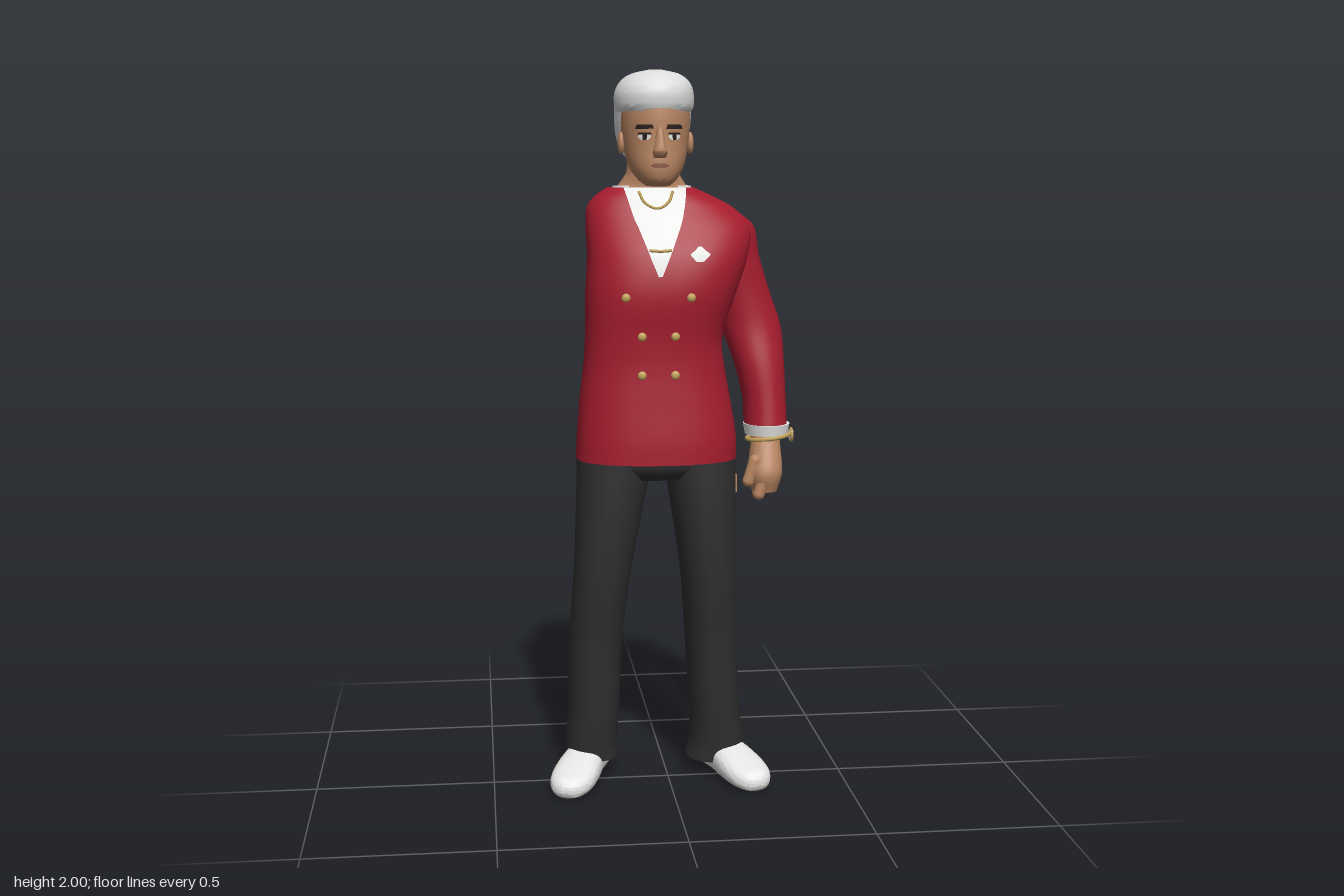
import * as THREE from 'three';
import { toCreasedNormals } from 'three/addons/utils/BufferGeometryUtils.js';

const mat = (name, color) => Object.assign(new THREE.MeshStandardMaterial({ color }), { name });
const M = {
  red: mat('jacketRed', 0xa51c2e), black: mat('trouserBlack', 0x303030),
  white: mat('shirtWhite', 0xe8e8e6), hair: mat('hairSilver', 0xdcdcdc),
  skin: mat('skin', 0xb88562), gold: mat('gold', 0xc2a25a),
  dark: mat('browDark', 0x2a201d), lip: mat('lip', 0x8c5a47),
};

// Smooth interpolation of rows [y, ...values] at height y
function sample(rows, y) {
  let i = 0;
  while (i < rows.length - 2 && y > rows[i + 1][0]) i++;
  const a = rows[i], b = rows[i + 1], h = b[0] - a[0];
  const t = Math.min(1, Math.max(0, (y - a[0]) / h));
  const p = rows[Math.max(0, i - 1)], q = rows[Math.min(rows.length - 1, i + 2)];
  return a.slice(1).map((_, n) => {
    const k = n + 1;
    const m0 = (b[k] - p[k]) / (b[0] - p[0]) * h, m1 = (q[k] - a[k]) / (q[0] - a[0]) * h;
    const t2 = t * t, t3 = t2 * t;
    return (2 * t3 - 3 * t2 + 1) * a[k] + (t3 - 2 * t2 + t) * m0
      + (3 * t2 - 2 * t3) * b[k] + (t3 - t2) * m1;
  });
}

function buffer(pos, idx) {
  const g = new THREE.BufferGeometry();
  g.setAttribute('position', new THREE.Float32BufferAttribute(pos, 3));
  g.setIndex(idx);
  return g;
}

// Closed body from rows [y, centreX, centreZ, radiusX, radiusZ]
function loft(rows, e = 2, n = 36, sub = 4) {
  const ys = [], pos = [], idx = [];
  rows.forEach((r, i) => {
    if (i) for (let s = 1; s <= sub; s++) ys.push(THREE.MathUtils.lerp(rows[i - 1][0], r[0], s / sub));
    else ys.push(r[0]);
  });
  const pw = (v) => Math.sign(v) * Math.abs(v) ** (2 / e);
  for (const y of ys) {
    const [cx, cz, rx, rz] = sample(rows, y);
    for (let j = 0; j < n; j++) {
      const a = j / n * Math.PI * 2;
      pos.push(cx + rx * pw(Math.cos(a)), y, cz + rz * pw(Math.sin(a)));
    }
  }
  const last = (ys.length - 1) * n, c0 = ys.length * n;
  for (const r of [rows[0], rows[rows.length - 1]]) pos.push(r[1], r[0], r[2]);
  for (let j = 0; j < n; j++) {
    const k = (j + 1) % n;
    for (let i = 0; i < last; i += n) idx.push(i + j, i + n + j, i + k, i + k, i + n + j, i + n + k);
    idx.push(c0, j, k, c0 + 1, last + k, last + j);
  }
  return toCreasedNormals(buffer(pos, idx), 0.9);
}

// Front surface height of a loft at x, y
function frontZ(rows, e, x, y) {
  const [cx, cz, rx, rz] = sample(rows, y);
  return cz + rz * Math.max(0, 1 - Math.abs((x - cx) / rx) ** e) ** (1 / e);
}

// Thin panel laid on a loft's front, outline rows [y, xMin, xMax]
function panel(body, e, outline, off, nx = 10, ny = 24) {
  const pos = [], idx = [], y0 = outline[0][0], y1 = outline[outline.length - 1][0];
  for (let i = 0; i <= ny; i++) {
    const y = y0 + (y1 - y0) * i / ny, [a, b] = sample(outline, y);
    for (let j = 0; j <= nx; j++) {
      const x = a + (b - a) * j / nx;
      pos.push(x, y, frontZ(body, e, x, y) + off);
      if (i < ny && j < nx) {
        const p = i * (nx + 1) + j, u = p + nx + 1;
        idx.push(p, p + 1, u, p + 1, u + 1, u);
      }
    }
  }
  const g = buffer(pos, idx);
  g.computeVertexNormals();
  return g;
}

const TE = 2.6;
const TORSO = [[.94, -.034, 0, .224, .17], [1, -.033, 0, .222, .168], [1.1, -.037, 0, .21, .158],
  [1.2, -.04, 0, .195, .15], [1.28, -.04, 0, .19, .152], [1.4, -.02, -.005, .208, .168],
  [1.5, 0, -.015, .222, .158], [1.58, .003, -.03, .228, .13], [1.63, -.018, -.04, .203, .11],
  [1.66, -.035, -.04, .165, .095], [1.685, -.045, -.04, .12, .075]];
const HEAD = [[1.69, -.037, .09, .03, .035], [1.705, -.037, .075, .05, .065], [1.74, -.037, .05, .073, .098],
  [1.8, -.037, .025, .088, .118], [1.87, -.037, .02, .094, .122], [1.92, -.037, .02, .09, .115]];

export function createModel() {
  const root = new THREE.Group();
  root.name = 'man';
  const add = (name, geo, m, x = 0, y = 0, z = 0) => {
    const o = new THREE.Mesh(geo, m);
    o.name = name;
    o.position.set(x, y, z);
    root.add(o);
    return o;
  };
  const onTorso = (x, y, off) => new THREE.Vector3(x, y, frontZ(TORSO, TE, x, y) + off);

  // Jacket with shirt, lapels and overlapping front
  add('jacketBody', loft(TORSO, TE, 48), M.red);
  add('shirtFront', panel(TORSO, TE, [[1.45, -.042, -.032], [1.52, -.07, -.002], [1.6, -.1, .03], [1.685, -.125, .048]], .004), M.white);
  add('frontOverlap', panel(TORSO, TE, [[.94, -.115, .06], [1.2, -.115, .05], [1.34, -.108, .0]], .005), M.red);
  add('leftLapel', panel(TORSO, TE, [[1.31, -.105, -.1], [1.36, -.1, -.04], [1.45, -.032, .05], [1.55, .01, .125],
    [1.585, .025, .148], [1.6, .033, .11], [1.685, .05, .075]], .008), M.red);
  add('rightLapel', panel(TORSO, TE, [[1.44, -.06, -.045], [1.5, -.115, -.062], [1.55, -.155, -.08],
    [1.585, -.178, -.093], [1.6, -.15, -.1], [1.685, -.155, -.125]], .008), M.red);
  for (const [s, x] of [['right', -.175], ['left', .09]])
    add(s + 'PocketFlap', panel(TORSO, TE, [[1.07, x - .05, x + .05], [1.11, x - .052, x + .052]], .009, 8, 4), M.red);
  for (const [x, y] of [[-.13, 1.395], [.045, 1.395], [-.087, 1.29], [.003, 1.29], [-.087, 1.185], [.003, 1.185]]) {
    const b = add('button', new THREE.SphereGeometry(.012, 14, 10), M.gold);
    b.position.copy(onTorso(x, y, .008));
    b.scale.z = .6;
  }
  // Folded pocket handkerchief
  add('handkerchief', panel(TORSO, TE, [[1.49, .06, .08], [1.51, .045, .1], [1.517, .055, .09], [1.53, .068, .076]], .01, 6, 8), M.white);

  // Shirt collar, necklace and collar bar
  add('shirtCollar', loft([[1.66, -.04, -.042, .118, .077], [1.69, -.04, -.042, .108, .074]]), M.white);
  const tube = (name, pts, r) => add(name, new THREE.TubeGeometry(
    new THREE.CatmullRomCurve3(pts.map(([x, y]) => onTorso(x, y, .008))), 24, r, 6), M.gold);
  tube('necklace', [[-.085, 1.675], [-.07, 1.645], [-.037, 1.63], [-.007, 1.645], [.008, 1.675]], .004);
  tube('collarBar', [[-.065, 1.52], [-.035, 1.518], [-.005, 1.52]], .004);

  // Left sleeve, cuff, bracelet and watch
  add('leftSleeve', loft([[1.02, .272, .025, .06, .078], [1.1, .27, .01, .06, .078], [1.2, .258, -.01, .07, .08],
    [1.3, .238, -.04, .085, .085], [1.4, .205, -.055, .086, .095], [1.5, .176, -.055, .085, .1],
    [1.58, .165, -.05, .08, .088], [1.615, .16, -.045, .045, .05]], 2.1), M.red);
  add('leftCuff', loft([[1.003, .274, .032, .06, .07], [1.033, .274, .028, .065, .08]]), M.white);
  const band = add('bracelet', new THREE.TorusGeometry(.06, .006, 8, 32), M.gold, .278, .997, .04);
  band.rotation.set(Math.PI / 2, .12, 0);
  add('watchFace', new THREE.CylinderGeometry(.016, .016, .009, 20), M.white, .342, 1.0, .045).rotation.z = Math.PI / 2;
  add('watchRim', new THREE.TorusGeometry(.017, .004, 8, 20), M.gold, .342, 1.0, .045).rotation.y = Math.PI / 2;

  // Left hand
  add('leftPalm', loft([[.85, .262, .075, .035, .048], [.9, .262, .08, .048, .058], [.95, .265, .07, .044, .05],
    [1.02, .27, .04, .036, .045]], 2.2), M.skin);
  for (let i = 0; i < 4; i++) {
    const f = add('finger', new THREE.CapsuleGeometry(.0165, .05, 6, 12), M.skin, .257 - i * .003, .862 + Math.abs(i - 1.5) * .005, .035 + i * .027);
    f.rotation.z = -.3;
  }
  const thumb = add('thumb', new THREE.CapsuleGeometry(.017, .06, 6, 12), M.skin, .222, .91, .105);
  thumb.rotation.z = -.3;

  // Trousers
  add('trouserSeat', loft([[.885, -.034, -.005, .12, .1], [.92, -.034, -.005, .19, .125], [1, -.034, -.005, .2, .13]], 2.4), M.black);
  add('rightTrouserLeg', loft([[.06, -.215, -.06, .075, .094], [.1, -.217, -.058, .074, .098], [.2, -.21, -.05, .073, .105],
    [.4, -.205, -.04, .075, .115], [.6, -.187, -.012, .08, .117], [.8, -.165, -.007, .094, .127], [.97, -.145, -.005, .11, .125]], 2.2), M.black);
  add('leftTrouserLeg', loft([[.045, .143, -.06, .084, .094], [.1, .147, -.058, .078, .098], [.2, .14, -.05, .071, .105],
    [.4, .128, -.04, .074, .115], [.6, .115, -.012, .077, .117], [.8, .1, -.007, .091, .127], [.97, .084, -.005, .106, .125]], 2.2), M.black);
  add('hipPatch', new THREE.BoxGeometry(.008, .05, .045), M.skin, .189, .86, .005);

  // Shoes, lofted heel to toe
  for (const [name, x, turn] of [['rightShoe', -.245, -.33], ['leftShoe', .18, .33]]) {
    const g = loft([[-.15, 0, -.045, .025, .03], [-.125, 0, -.045, .05, .044], [-.03, 0, -.05, .056, .049],
      [.06, 0, -.043, .064, .042], [.13, 0, -.034, .06, .033], [.172, 0, -.029, .038, .025], [.185, 0, -.027, .01, .01]], 2.5);
    add(name, g.rotateX(Math.PI / 2), M.white, x).rotation.y = turn;
  }

  // Neck and head
  add('neck', loft([[1.67, -.042, -.038, .113, .076], [1.695, -.04, -.036, .092, .073], [1.73, -.04, -.025, .072, .07],
    [1.8, -.04, -.015, .07, .072]]), M.skin);
  add('head', loft(HEAD), M.skin);
  add('nose', loft([[1.765, -.037, .143, .016, .01], [1.78, -.037, .148, .02, .018], [1.8, -.037, .147, .014, .016],
    [1.845, -.037, .137, .009, .01]], 2, 16), M.skin);
  for (const s of [-1, 1]) {
    const side = s < 0 ? 'right' : 'left', x = -.037 + s * .04;
    const ear = add(side + 'Ear', new THREE.SphereGeometry(.026, 16, 12), M.skin, -.037 + s * .094, 1.805, .03);
    ear.scale.set(.4, 1.15, .7);
    const face = (name, o, m, off) => add(side + name, panel(HEAD, 2, o, off, 6, 6), m);
    face('EyeWhite', [[1.812, x - .008, x + .008], [1.82, x - .017, x + .017], [1.828, x - .012, x + .012]], M.white, .002);
    face('Iris', [[1.812, x - .005, x + .005], [1.828, x - .006, x + .006]], M.dark, .004);
    face('EyeLid', [[1.826, x - .018, x + .018], [1.831, x - .016, x + .016]], M.dark, .004);
    face('Brow', [[1.841, x - .024, x + .024], [1.852, x - .02, x + .02]], M.dark, .005);
  }
  add('mouth', panel(HEAD, 2, [[1.738, -.05, -.024], [1.744, -.062, -.012], [1.75, -.052, -.022]], .003, 8, 6), M.lip);

  // Hair: swept top and rounded back
  add('hairTop', loft([[1.888, -.04, .015, .1, .12], [1.9, -.04, .015, .107, .126], [1.94, -.04, .015, .107, .127],
    [1.97, -.038, .012, .093, .11], [1.99, -.037, .012, .064, .078], [2, -.036, .01, .022, .03]], 2.1), M.hair);
  add('hairBack', loft([[1.765, -.04, -.047, .07, .045], [1.785, -.04, -.045, .088, .06], [1.84, -.04, -.03, .103, .08],
    [1.91, -.04, -.012, .106, .098]], 2.1), M.hair);

  return root;
}
